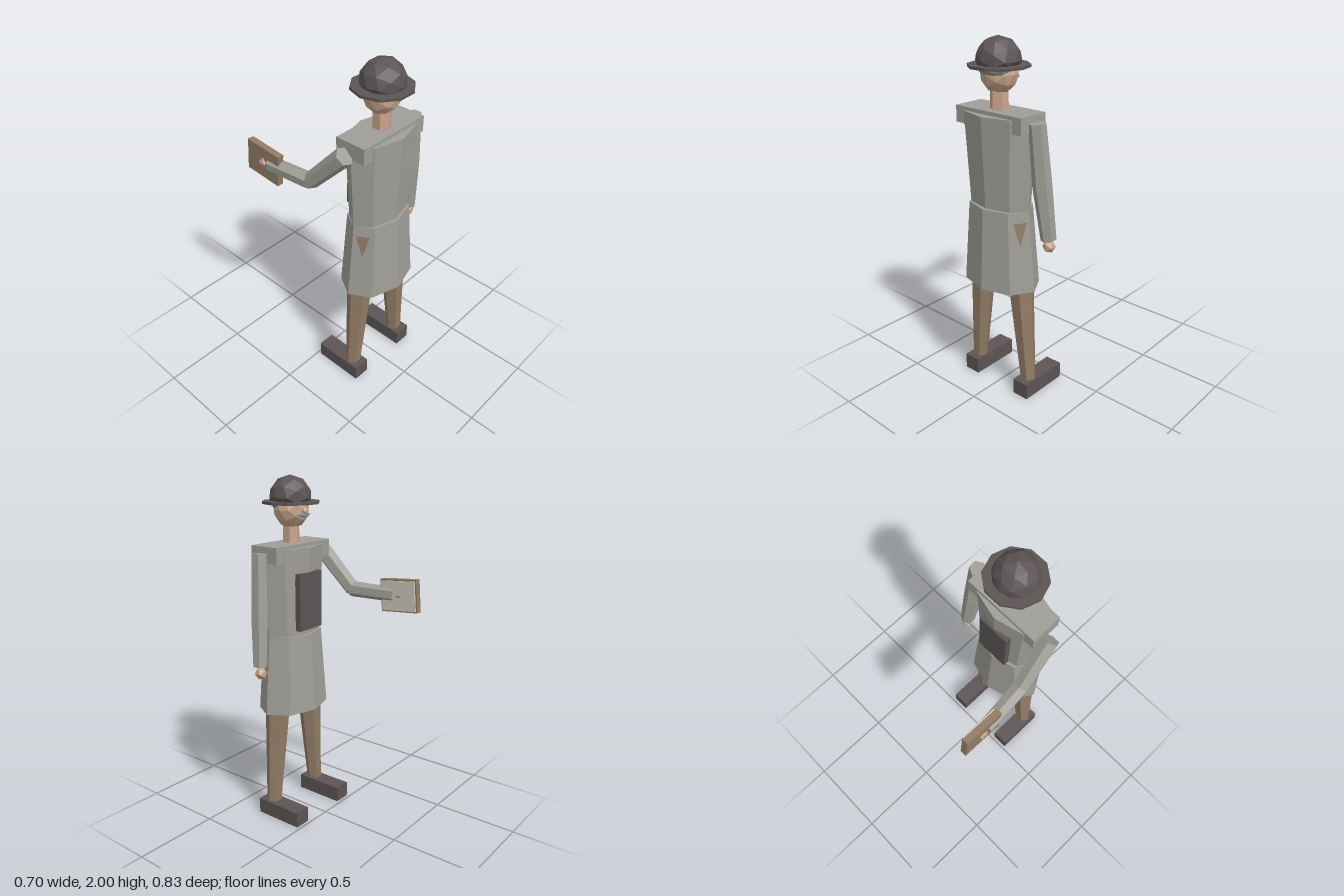
import * as THREE from 'three';

const paint = (name, color) => {
  const m = new THREE.MeshStandardMaterial({ color, flatShading: true });
  m.name = name;
  return m;
};

export function createModel() {
  const coat = paint('coat grey', 0x9f9e97);
  const brown = paint('trouser brown', 0x927c66);
  const dark = paint('charcoal', 0x5c5455);
  const skin = paint('skin', 0xc8a58c);
  const hairGrey = paint('hair grey', 0x8f8d8b);
  const pages = paint('paper', 0xd0ccc0);

  const model = new THREE.Group();
  model.name = 'standingFigure';
  const Z = 0.247; // depth of the body axis

  const add = (name, geo, mat, x = 0, y = 0, z = 0) => {
    const mesh = new THREE.Mesh(geo, mat);
    mesh.name = name;
    mesh.position.set(x, y, z);
    model.add(mesh);
    return mesh;
  };
  const box = (name, mat, w, h, d, x, y, z) =>
    add(name, new THREE.BoxGeometry(w, h, d), mat, x, y, z);
  const ball = (name, mat, r, x, y, z, detail = 0) =>
    add(name, new THREE.IcosahedronGeometry(r, detail), mat, x, y, z);
  // Six-sided tapered limb between two points
  const limb = (name, mat, a, b, ra, rb, twist = 0) => {
    const from = new THREE.Vector3(...a), to = new THREE.Vector3(...b);
    const dir = to.clone().sub(from);
    const geo = new THREE.CylinderGeometry(rb, ra, dir.length(), 6);
    geo.rotateY(twist);
    const mid = from.add(to).multiplyScalar(0.5);
    const mesh = add(name, geo, mat, mid.x, mid.y, mid.z);
    mesh.quaternion.setFromUnitVectors(new THREE.Vector3(0, 1, 0), dir.normalize());
    return mesh;
  };

  // Eight-sided coat skirt and torso, flattened front to back
  add('coatSkirt', new THREE.CylinderGeometry(0.2, 0.24, 0.46, 8), coat, 0, 0.89, Z).scale.z = 0.7;
  add('coatTorso', new THREE.CylinderGeometry(0.23, 0.2, 0.495, 8), coat, 0, 1.3675, Z).scale.z = 0.6;
  box('shoulders', coat, 0.457, 0.09, 0.182, 0, 1.59, 0.245);
  box('chestPanel', dark, 0.19, 0.325, 0.035, 0, 1.315, 0.122);

  for (const s of [-1, 1]) {
    // Legs, knees and shoes
    box('shoe', dark, 0.1, 0.092, 0.3, s * 0.195, 0.046, 0.17);
    limb('leg', brown, [s * 0.196, 0.05, Z], [s * 0.13, 0.85, Z], 0.042, 0.08, Math.PI / 6);
    ball('knee', brown, 0.062, s * 0.152, 0.57, Z);

    // Triangular brown patch lying on the skirt's side facet
    const corner = (y, t) => {
      const r = 0.24 - 0.04 * (y - 0.66) / 0.46 + 0.004;
      return [s * r * (1 - 0.293 * t), y, Z + 0.7 * 0.707 * r * t];
    };
    const pts = [corner(1.06, 0.15), corner(1.06, 0.78), corner(0.93, 0.5)];
    if (s > 0) pts.reverse();
    const tri = new THREE.BufferGeometry();
    tri.setAttribute('position', new THREE.Float32BufferAttribute(pts.flat(), 3));
    tri.computeVertexNormals();
    const patchMat = patchMaterial(brown);
    add('coatPatch', tri, patchMat);
  }

  // Hanging arm
  const elbowL = [0.281, 1.27, 0.235];
  limb('leftUpperArm', coat, [0.257, 1.6, 0.25], elbowL, 0.046, 0.052);
  limb('leftForearm', coat, elbowL, [0.31, 0.98, 0.217], 0.052, 0.042);
  ball('leftElbow', coat, 0.05, ...elbowL);
  ball('leftHand', skin, 0.036, 0.311, 0.942, 0.213);

  // Raised arm reaching forward
  const elbowR = [-0.288, 1.347, 0.025];
  limb('rightUpperArm', coat, [-0.262, 1.575, 0.24], elbowR, 0.052, 0.046);
  limb('rightForearm', coat, elbowR, [-0.313, 1.345, -0.252], 0.045, 0.043);
  ball('rightElbow', coat, 0.044, ...elbowR);
  ball('rightHand', skin, 0.036, -0.317, 1.345, -0.288);

  // Tilted tablet held in the raised hand
  const tablet = new THREE.Group();
  tablet.name = 'tablet';
  tablet.position.set(-0.317, 1.345, -0.288);
  tablet.rotation.x = 0.09;
  const board = new THREE.Mesh(new THREE.BoxGeometry(0.037, 0.187, 0.236), brown);
  board.name = 'tabletBoard';
  const sheet = new THREE.Mesh(new THREE.BoxGeometry(0.009, 0.17, 0.218), pages);
  sheet.name = 'tabletSheet';
  sheet.position.x = 0.0225;
  tablet.add(board, sheet);
  model.add(tablet);

  // Neck, head and face (the face looks toward -z)
  add('neck', new THREE.CylinderGeometry(0.048, 0.05, 0.13, 6), skin, 0, 1.68, Z);
  ball('head', skin, 0.1, 0, 1.815, 0.243, 1).scale.y = 1.04;
  ball('hair', hairGrey, 0.092, 0, 1.85, 0.272, 1).scale.set(1.08, 0.68, 0.9);
  ball('nose', skin, 0.022, 0, 1.812, 0.145);
  for (const s of [-1, 1]) {
    const half = new THREE.ConeGeometry(0.018, 0.065, 5);
    half.rotateZ(-s * Math.PI / 2);
    add('moustache', half, hairGrey, s * 0.03, 1.792, 0.148).rotation.y = -s * 0.25;
  }

  // Round hat with its lower half pressed flat onto the brim
  const dome = new THREE.IcosahedronGeometry(0.12, 1);
  const p = dome.attributes.position;
  for (let i = 0; i < p.count; i++) p.setY(i, Math.max(p.getY(i), -0.025));
  dome.computeVertexNormals();
  add('hatDome', dome, dark, 0, 1.882, Z);
  const brim = new THREE.CylinderGeometry(0.163, 0.163, 0.014, 10);
  brim.rotateY(Math.PI / 10);
  add('hatBrim', brim, dark, 0, 1.855, 0.245);

  return model;
}

// Thin patches show from both faces
function patchMaterial(mat) {
  mat.side = THREE.DoubleSide;
  return mat;
}
